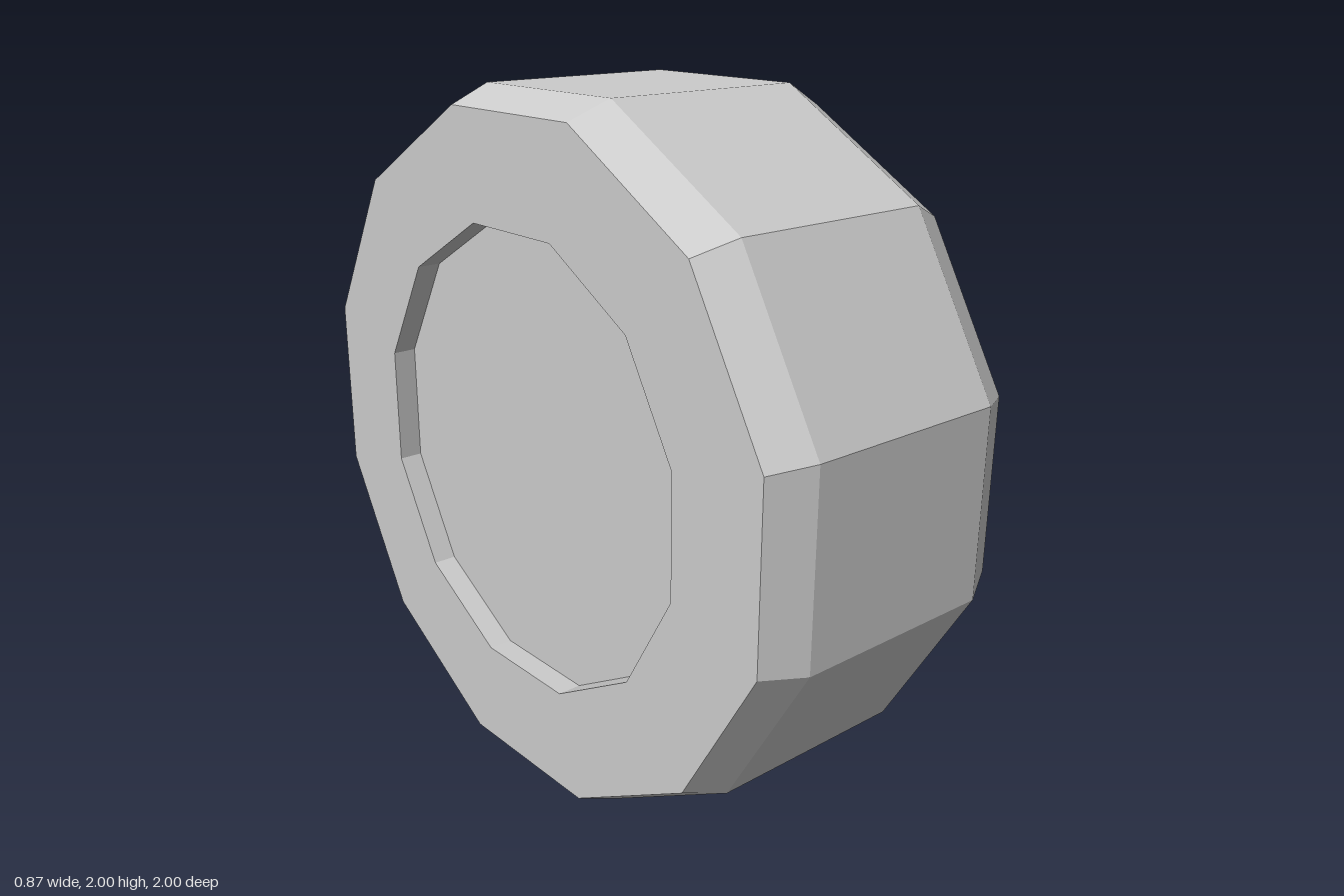
import * as THREE from 'three';

const SIDES = 12;
const toCorner = 1 / Math.cos(Math.PI / SIDES); // flat distance to corner radius

export function createModel() {
  const group = new THREE.Group();
  group.name = 'wheel';
  const material = new THREE.MeshStandardMaterial({ color: 0xcccccc, flatShading: true });

  // Turns a profile of [distance to flat, x] around the x axis, flats facing up and down
  const addTurned = (name, profile) => {
    const points = profile.map(([r, x]) => new THREE.Vector2(r * toCorner, x));
    const geometry = new THREE.LatheGeometry(points, SIDES, Math.PI / SIDES);
    geometry.rotateZ(-Math.PI / 2);
    const mesh = new THREE.Mesh(geometry, material);
    mesh.name = name;
    mesh.position.y = 1;
    group.add(mesh);
  };

  // Recessed hub on the -x side
  addTurned('hubRecess', [[0, -0.367], [0.645, -0.367], [0.645, -0.437]]);

  // Chamfered tyre with a closed flat face on the +x side
  addTurned('tyre', [
    [0.645, -0.437], [0.95, -0.437], [1, -0.312],
    [1, 0.306], [0.932, 0.437], [0, 0.437],
  ]);

  return group;
}
